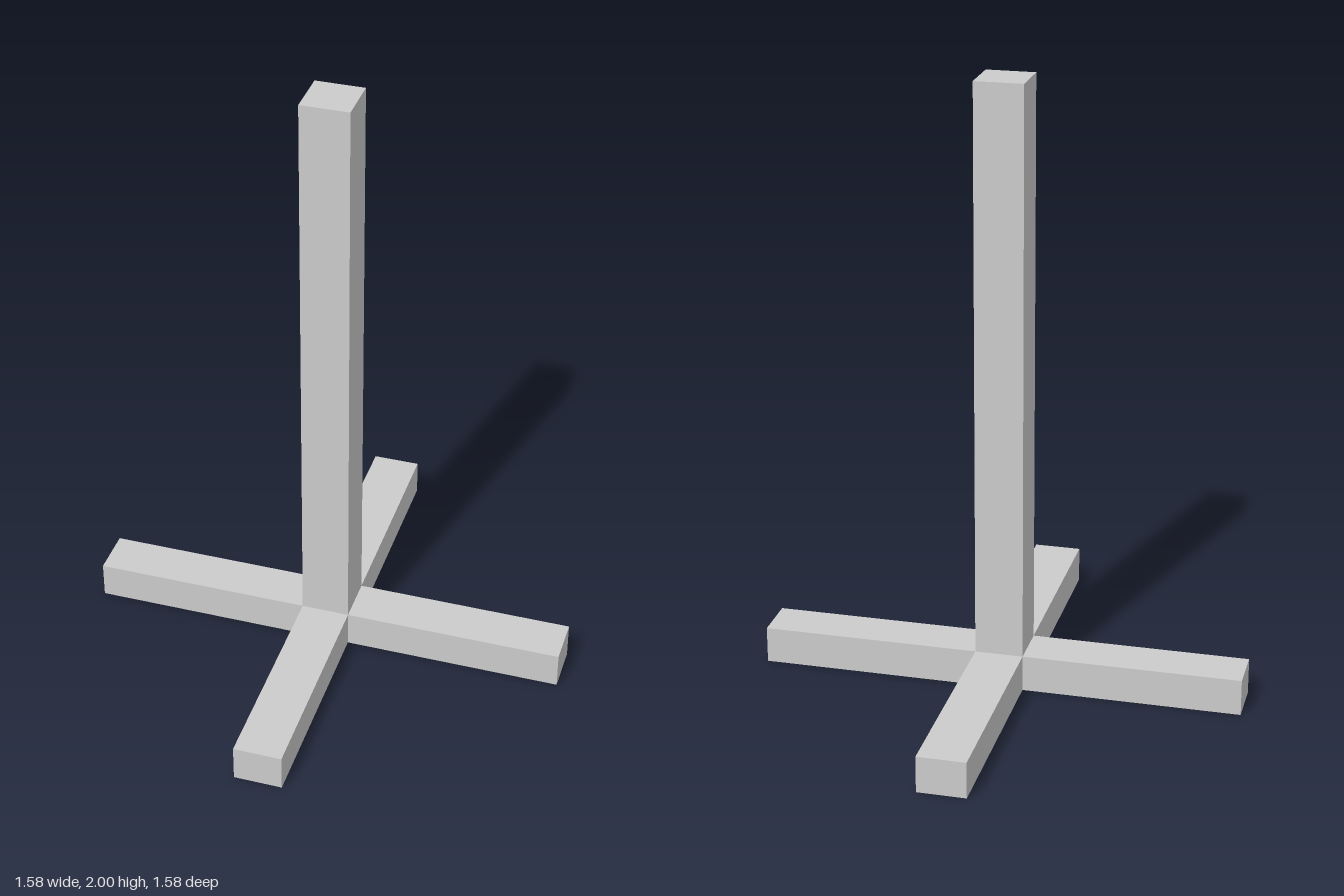
import * as THREE from 'three';

const WIDTH = 0.157;      // square section of the post, width of the feet
const POST_HEIGHT = 2;
const FOOT_HEIGHT = 0.12;
const REACH = 0.79;       // centre to foot end

export function createModel() {
  const model = new THREE.Group();
  model.name = 'crossBaseStand';
  const material = new THREE.MeshStandardMaterial({ color: 0xcccccc, flatShading: true });

  // Upright post, running down to the ground between the feet
  const post = new THREE.Mesh(new THREE.BoxGeometry(WIDTH, POST_HEIGHT, WIDTH), material);
  post.name = 'post';
  post.position.y = POST_HEIGHT / 2;
  model.add(post);

  // Four feet butting against the post's sides
  const length = REACH - WIDTH / 2;
  const footGeometry = new THREE.BoxGeometry(WIDTH, FOOT_HEIGHT, length);
  footGeometry.translate(0, FOOT_HEIGHT / 2, WIDTH / 2 + length / 2);
  ['frontFoot', 'leftFoot', 'backFoot', 'rightFoot'].forEach((name, i) => {
    const foot = new THREE.Mesh(footGeometry, material);
    foot.name = name;
    foot.rotation.y = (i * Math.PI) / 2;
    model.add(foot);
  });

  return model;
}
